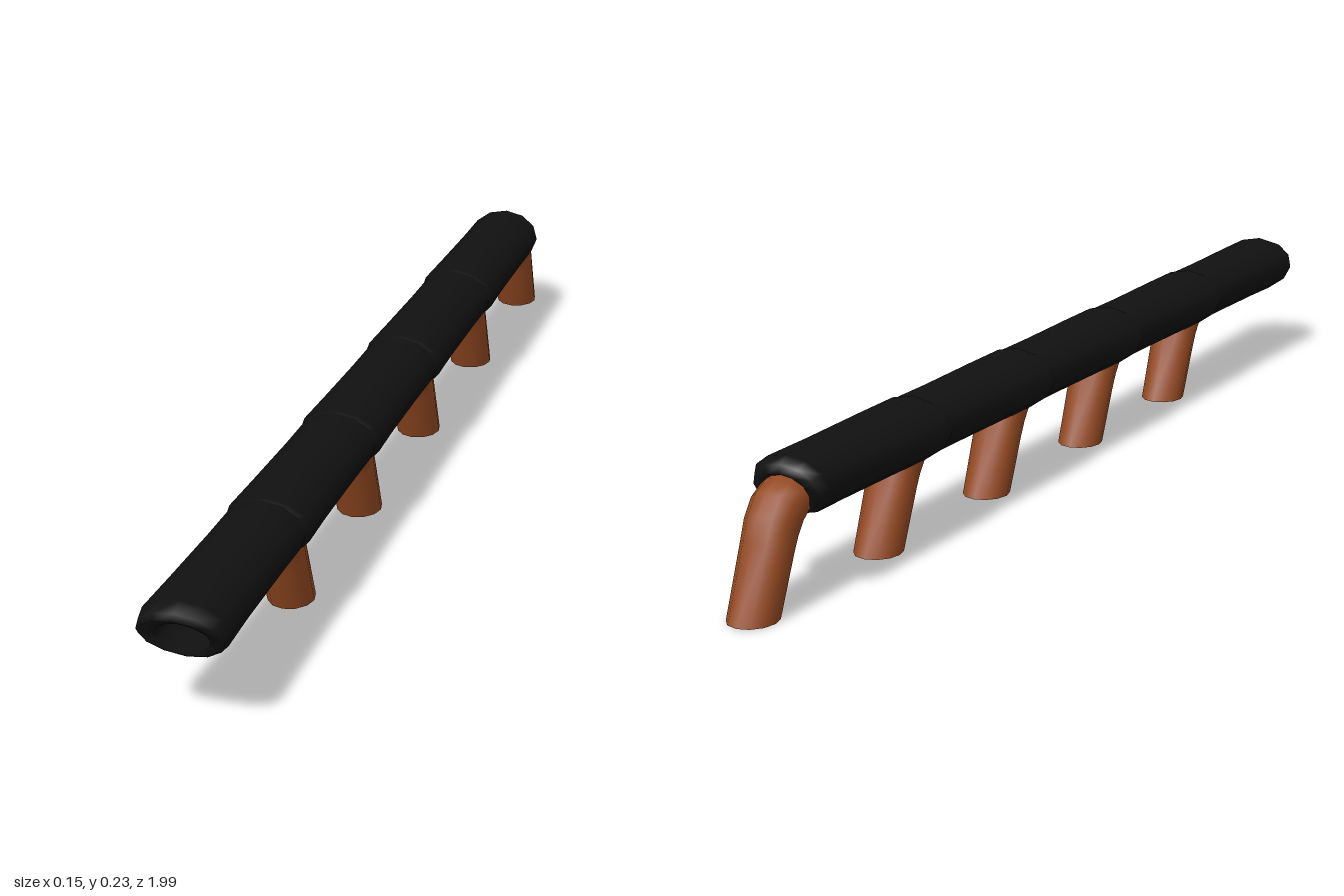
import * as THREE from 'three';

const SIDES = 12, COUNT = 5, SPACING = 0.36;

// Skin elliptical rings, each given as [zTop, yTop, zBottom, yBottom, halfWidth]
function loft(rings, caps) {
  const pos = [], idx = [];
  const addRing = ([zt, yt, zb, yb, rx]) => {
    const start = pos.length / 3;
    for (let j = 0; j < SIDES; j++) {
      const a = (j / SIDES) * Math.PI * 2, s = Math.sin(a) / 2;
      pos.push(rx * Math.cos(a), (yt + yb) / 2 + (yt - yb) * s, (zt + zb) / 2 + (zt - zb) * s);
    }
    return start;
  };
  const starts = rings.map(addRing);
  for (let i = 0; i < rings.length - 1; i++) {
    for (let j = 0; j < SIDES; j++) {
      const k = (j + 1) % SIDES;
      const a = starts[i] + j, b = starts[i] + k, c = starts[i + 1] + j, d = starts[i + 1] + k;
      idx.push(a, c, b, b, c, d);
    }
  }
  if (caps) {
    // separate cap vertices keep the cut edges sharp
    const first = addRing(rings[0]), last = addRing(rings[rings.length - 1]);
    for (let j = 1; j < SIDES - 1; j++) {
      idx.push(first, first + j, first + j + 1, last, last + j + 1, last + j);
    }
  }
  const geo = new THREE.BufferGeometry();
  geo.setAttribute('position', new THREE.Float32BufferAttribute(pos, 3));
  geo.setIndex(idx);
  geo.computeVertexNormals();
  return geo;
}

export function createModel() {
  const group = new THREE.Group();
  const black = new THREE.MeshStandardMaterial({ color: 0x111111, side: THREE.DoubleSide });
  const copper = new THREE.MeshStandardMaterial({ color: 0x954a22 });

  // Hollow sleeve: inner wall, slanted front lip, outer wall, rounded rear
  const sleeveGeo = loft([
    [0.66, 0.20, 0.66, 0.14, 0.045],
    [0.975, 0.20, 0.945, 0.14, 0.045],
    [0.998, 0.215, 0.955, 0.137, 0.064],
    [0.992, 0.226, 0.947, 0.131, 0.071],
    [0.965, 0.235, 0.93, 0.13, 0.075],
    [0.86, 0.235, 0.85, 0.131, 0.072],
    [0.70, 0.233, 0.70, 0.132, 0.07],
    [0.59, 0.233, 0.62, 0.132, 0.07],
    [0.573, 0.222, 0.603, 0.136, 0.06],
    [0.568, 0.208, 0.596, 0.142, 0.046],
    [0.59, 0.20, 0.60, 0.145, 0.036],
  ], false);

  // Copper core bending down into a slanted leg with a flat foot
  const legGeo = loft([
    [0.70, 0.20, 0.70, 0.14, 0.045],
    [0.60, 0.205, 0.61, 0.137, 0.044],
    [0.565, 0.203, 0.60, 0.132, 0.044],
    [0.535, 0.188, 0.59, 0.122, 0.044],
    [0.51, 0.158, 0.58, 0.105, 0.043],
    [0.495, 0.12, 0.57, 0.085, 0.042],
    [0.445, 0, 0.535, 0, 0.04],
  ], true);

  for (let i = 0; i < COUNT; i++) {
    const segment = new THREE.Group();
    segment.name = `segment${i + 1}`;
    const sleeve = new THREE.Mesh(sleeveGeo, black);
    sleeve.name = 'sleeve';
    const leg = new THREE.Mesh(legGeo, copper);
    leg.name = 'copperLeg';
    segment.add(sleeve, leg);
    segment.position.z = -i * SPACING;
    group.add(segment);
  }
  return group;
}
